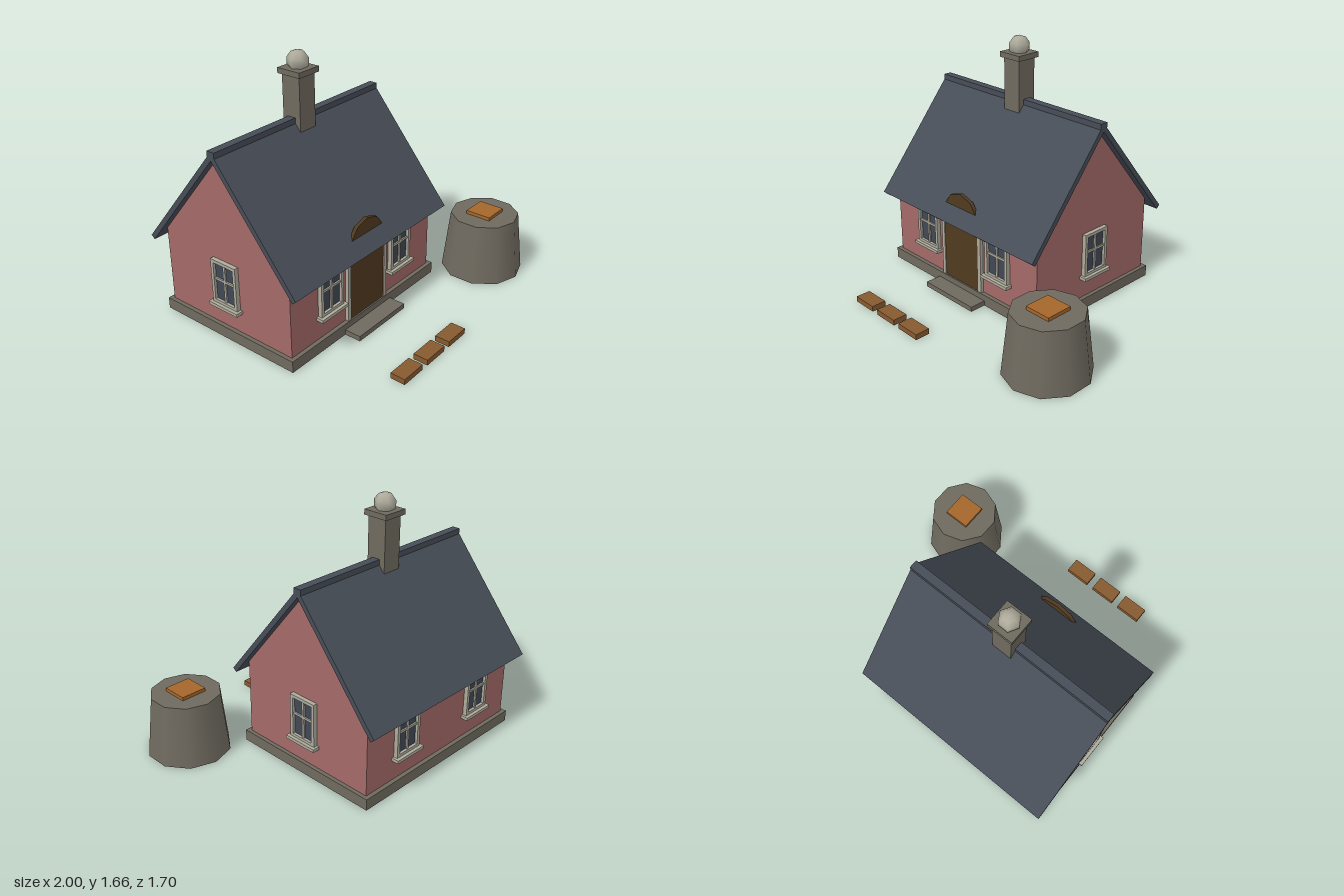
import * as THREE from 'three';

const mat = (name, color, extra = {}) => {
  const m = new THREE.MeshStandardMaterial({ color, ...extra });
  m.name = name;
  return m;
};

export function createModel() {
  const root = new THREE.Group();
  root.name = 'cottage';

  const plaster = mat('pinkPlaster', 0xa36968);
  const slate = mat('slate', 0x474d57);
  const stone = mat('stone', 0x6f6a5f);
  const trim = mat('paleTrim', 0xaeab9c);
  const glass = mat('glass', 0x414855);
  const doorWood = mat('darkWood', 0x503a20);
  const plankWood = mat('plankWood', 0x865a30);
  const lidWood = mat('orangeWood', 0xa4672b);

  const add = (parent, name, geo, material, x = 0, y = 0, z = 0) => {
    const mesh = new THREE.Mesh(geo, material);
    mesh.name = name;
    mesh.position.set(x, y, z);
    parent.add(mesh);
    return mesh;
  };
  // box given by its min and max on each axis
  const box = (parent, name, material, x0, x1, y0, y1, z0, z1) =>
    add(parent, name, new THREE.BoxGeometry(x1 - x0, y1 - y0, z1 - z0), material,
      (x0 + x1) / 2, (y0 + y1) / 2, (z0 + z1) / 2);
  // cross-section in (z, y), extruded along x and centred there
  const extrudeX = (points, length) => {
    const shape = new THREE.Shape(points.map(([a, b]) => new THREE.Vector2(a, b)));
    return new THREE.ExtrudeGeometry(shape, { depth: length, bevelEnabled: false })
      .translate(0, 0, -length / 2).rotateY(Math.PI / 2);
  };

  // house, built around its own centre
  const house = new THREE.Group();
  house.name = 'house';
  house.position.set(-0.27, 0, -0.25);
  root.add(house);

  const halfX = 0.677, halfZ = 0.507, slope = 1.208, apex = 1.197;
  box(house, 'plinth', stone, -0.703, 0.703, 0, 0.075, -0.535, 0.535);
  box(house, 'doorStep', stone, -0.227, 0.227, 0, 0.034, 0.53, 0.648);

  // walls with gables
  const wallTop = apex - halfZ * slope;
  add(house, 'walls', extrudeX([
    [-halfZ, 0.075], [halfZ, 0.075], [halfZ, wallTop], [0, apex], [-halfZ, wallTop],
  ], halfX * 2), plaster);

  // roof, a chevron section with square-cut eaves
  add(house, 'roof', extrudeX([
    [0, 1.249], [-0.602, 0.523], [-0.576, 0.502], [0, apex], [0.576, 0.502], [0.602, 0.523],
  ], 1.46), slate);
  box(house, 'ridgeCap', slate, -0.73, 0.73, 1.205, 1.252, -0.028, 0.028);

  // chimney
  box(house, 'chimneyStack', stone, -0.068, 0.068, 1.1, 1.515, -0.068, 0.068);
  box(house, 'chimneyCap', stone, -0.087, 0.087, 1.515, 1.55, -0.087, 0.087);
  add(house, 'chimneyBall', new THREE.SphereGeometry(0.071, 6, 5), trim, 0, 1.587, 0);

  // door with rounded head that breaks through the roof
  const door = new THREE.Group();
  door.name = 'door';
  house.add(door);
  box(door, 'doorLeaf', doorWood, -0.163, 0.163, 0.075, 0.555, 0.5, 0.525);
  add(door, 'doorHead', new THREE.CylinderGeometry(0.163, 0.163, 0.025, 10).rotateX(-Math.PI / 2),
    doorWood, 0, 0.552, 0.5125);
  for (const s of [-1, 1]) {
    add(door, 'doorPost', new THREE.BoxGeometry(0.027, 0.48, 0.03), trim, s * 0.1765, 0.315, 0.515);
  }

  // windows: frame with a hole, glass, bars and sill, facing +z before turning
  const frameShape = new THREE.Shape();
  frameShape.moveTo(-0.102, 0.234).lineTo(0.102, 0.234).lineTo(0.102, 0.528).lineTo(-0.102, 0.528).closePath();
  const hole = new THREE.Path();
  hole.moveTo(-0.08, 0.254).lineTo(-0.08, 0.507).lineTo(0.08, 0.507).lineTo(0.08, 0.254).closePath();
  frameShape.holes.push(hole);
  const frameGeo = new THREE.ExtrudeGeometry(frameShape, { depth: 0.028, bevelEnabled: false });

  const addWindow = (x, z, turn) => {
    const w = new THREE.Group();
    w.name = 'window';
    w.position.set(x, 0, z);
    w.rotation.y = turn;
    add(w, 'windowFrame', frameGeo, trim);
    box(w, 'windowGlass', glass, -0.085, 0.085, 0.25, 0.511, 0.002, 0.01);
    box(w, 'uprightBar', trim, -0.008, 0.008, 0.25, 0.511, 0.008, 0.02);
    box(w, 'crossBar', trim, -0.085, 0.085, 0.389, 0.404, 0.008, 0.02);
    box(w, 'windowSill', trim, -0.119, 0.119, 0.214, 0.235, 0, 0.05);
    house.add(w);
  };
  for (const s of [-1, 1]) {
    addWindow(s * 0.338, halfZ, 0);
    addWindow(s * 0.338, -halfZ, Math.PI);
    addWindow(s * halfX, 0, s * Math.PI / 2);
  }

  // round stone well with a wooden lid
  const well = new THREE.Group();
  well.name = 'well';
  well.position.set(0.737, 0, 0.498);
  root.add(well);
  add(well, 'wellBody', new THREE.CylinderGeometry(0.227, 0.273, 0.405, 10), stone, 0, 0.2025, 0);
  box(well, 'wellLid', lidWood, -0.088, 0.088, 0.4, 0.428, -0.088, 0.088);

  // three planks lying in front
  for (let i = -1; i <= 1; i++) {
    add(root, 'plank', new THREE.BoxGeometry(0.176, 0.037, 0.1), plankWood, -0.347 + i * 0.226, 0.0185, 0.801);
  }

  return root;
}
